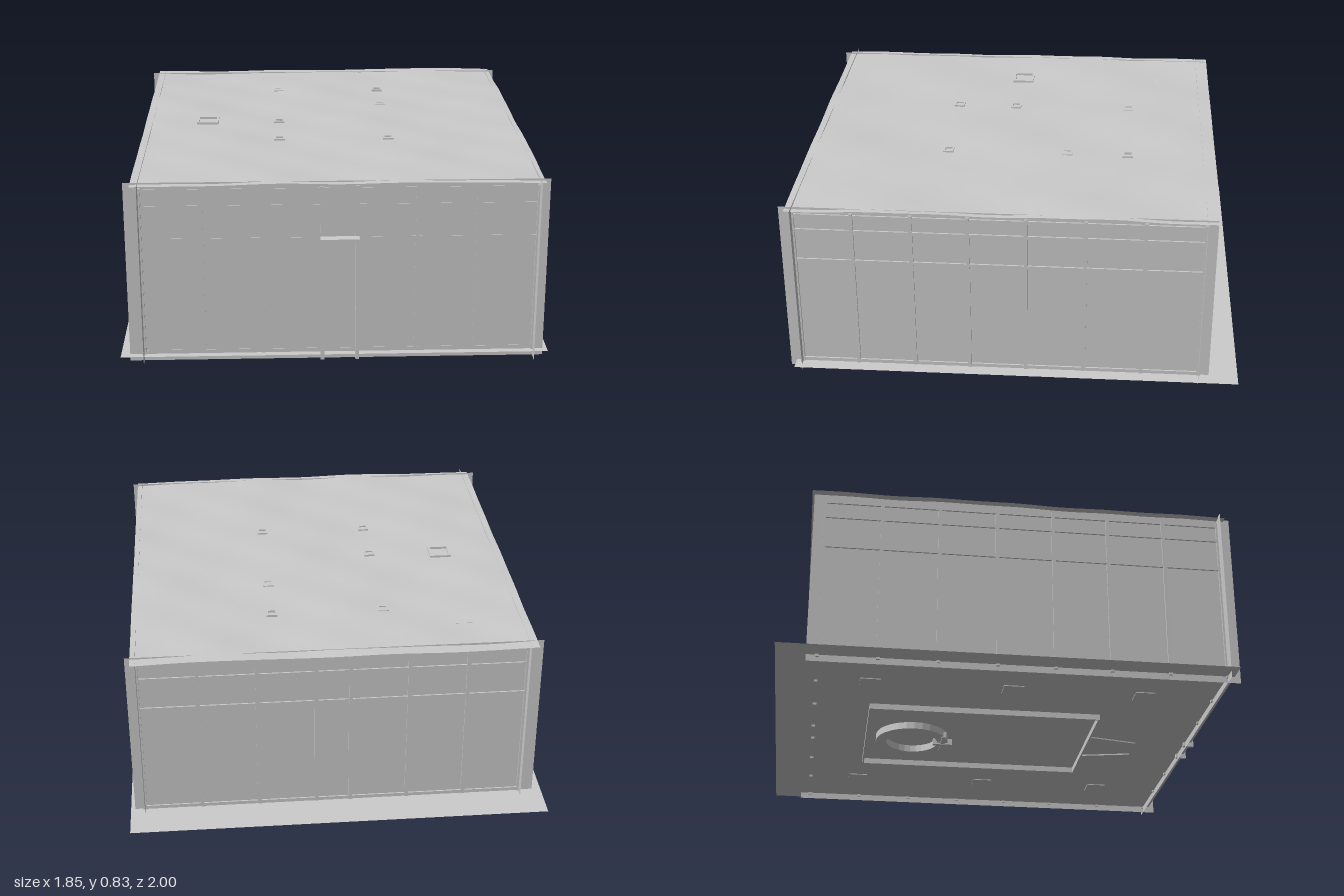
import * as THREE from 'three';

const material = new THREE.MeshStandardMaterial({ color: 0xcccccc, side: THREE.DoubleSide });

export function createModel() {
  const model = new THREE.Group();

  const add = (name, geometry, parent = model) => {
    const mesh = new THREE.Mesh(geometry, material);
    mesh.name = name;
    parent.add(mesh);
    return mesh;
  };
  // Box given by its two extents on each axis
  const box = (name, x0, x1, y0, y1, z0, z1, parent) => {
    const mesh = add(name, new THREE.BoxGeometry(x1 - x0, y1 - y0, z1 - z0), parent);
    mesh.position.set((x0 + x1) / 2, (y0 + y1) / 2, (z0 + z1) / 2);
    return mesh;
  };

  // Thin ground plate, reaching out behind the house
  const plate = add('groundPlate', new THREE.PlaneGeometry(1.85, 1.974).rotateX(-Math.PI / 2));
  plate.position.set(0, 0.04, -0.013);

  // One thin wall with poles and rails through it, along local x, outside at +z
  function wall(name, from, to, battens, depth) {
    const group = new THREE.Group();
    group.name = name;
    const panel = add('wallPanel', new THREE.PlaneGeometry(to - from, 0.813), group);
    panel.position.set((from + to) / 2, 0.4165, 0);
    for (const x of battens) box('batten', x - 0.008, x + 0.008, 0.03, 0.8, -0.008, depth, group);
    const a = battens[0], b = battens[battens.length - 1];
    for (const y of [0.05, 0.565, 0.712, 0.785]) {
      box('rail', a, b, y - 0.008, y + 0.008, -0.008, depth * 0.8, group);
    }
    model.add(group);
    return group;
  }

  const acrossX = [-0.822, -0.565, -0.31, -0.055, 0.095, 0.35, 0.605, 0.861];
  const alongZ = [-0.825, -0.57, -0.315, -0.06, 0.19, 0.435, 0.69, 0.943];
  const mirrored = (list) => list.map((v) => -v).reverse();

  // Walls run past each other at the corners
  wall('frontWall', -0.886, 0.906, acrossX, 0.002).position.z = 0.943;
  const back = wall('backWall', -0.906, 0.886, mirrored(acrossX), 0.008);
  back.position.z = -0.825;
  back.rotation.y = Math.PI;
  const left = wall('leftWall', -1.0, 0.872, mirrored(alongZ), 0.009);
  left.position.x = 0.861;
  left.rotation.y = Math.PI / 2;
  const right = wall('rightWall', -0.872, 1.0, alongZ, 0.009);
  right.position.x = -0.824;
  right.rotation.y = -Math.PI / 2;

  // Door frame standing out from the front wall
  for (const x of [-0.055, 0.095]) box('doorJamb', x - 0.008, x + 0.008, 0.02, 0.575, 0.935, 0.984);
  box('doorLintel', -0.063, 0.103, 0.558, 0.575, 0.935, 0.984);

  // Softly uneven roof, overhanging the walls a little
  const roofGeometry = new THREE.PlaneGeometry(1.741, 1.855, 56, 56).rotateX(-Math.PI / 2);
  const p = roofGeometry.attributes.position;
  for (let i = 0; i < p.count; i++) {
    const x = p.getX(i), z = p.getZ(i);
    const lump = Math.sin(6.1 * x + 2.3 * z + 0.7) * Math.cos(5.3 * z - 1.9 * x)
      + 0.6 * Math.sin(13.3 * x - 5.1 * z) * Math.sin(11.7 * z + 1.2);
    p.setY(i, 0.005 * lump);
  }
  roofGeometry.computeVertexNormals();
  add('roof', roofGeometry).position.set(0.0135, 0.819, 0.046);

  // Large inner posts, their feet just below the ground plate
  for (const x of [-0.57, 0.6]) {
    for (const z of [-0.59, 0.04, 0.63]) {
      box('post', x - 0.045, x + 0.045, 0.036, 0.815, z - 0.045, z + 0.045);
    }
  }

  // Open square frame around a top opening
  function collar(name, x, z, half, bar, y0, y1) {
    for (const s of [-1, 1]) {
      const e = s * (half - bar / 2);
      box(name, x - half, x + half, y0, y1, z + e - bar / 2, z + e + bar / 2);
      box(name, x + e - bar / 2, x + e + bar / 2, y0, y1, z - half, z + half);
    }
  }
  collar('smokeHole', -0.565, 0.045, 0.05, 0.01, 0.8, 0.826);
  const poles = [[-0.23, -0.485], [-0.23, 0.06], [-0.23, 0.335], [0.265, -0.485], [0.265, -0.21], [0.265, 0.335]];
  for (const [x, z] of poles) collar('poleTop', x, z, 0.024, 0.008, 0.8, 0.824);

  // Sunken floor border below the plate
  for (const x of [-0.338, 0.338]) box('floorBorder', x - 0.004, x + 0.004, 0.014, 0.04, -0.575, 0.47);
  for (const z of [-0.575, 0.47]) box('floorBorder', -0.342, 0.342, 0.014, 0.04, z - 0.004, z + 0.004);

  // Round hearth with its outlet
  const ring = [[0.12, 0.04], [0.12, 0.008], [0.17, 0.008], [0.17, 0.04]]
    .map(([r, y]) => new THREE.Vector2(r, y));
  const hearthGeometry = new THREE.LatheGeometry(ring, 28).toNonIndexed();
  hearthGeometry.computeVertexNormals();
  add('hearthRing', hearthGeometry).position.set(0.02, 0, -0.36);
  box('hearthOutlet', -0.07, 0.11, 0.002, 0.03, -0.225, -0.205);
  box('hearthOutlet', 0.01, 0.03, 0, 0.03, -0.26, -0.17);

  // Strips narrowing from the floor border toward the door
  for (const s of [-1, 1]) {
    const strip = add('entryStrip', new THREE.BoxGeometry(0.008, 0.006, 0.24));
    strip.position.set(0.045 + s * 0.095, 0.037, 0.59);
    strip.rotation.y = -s * 0.2;
  }

  return model;
}
